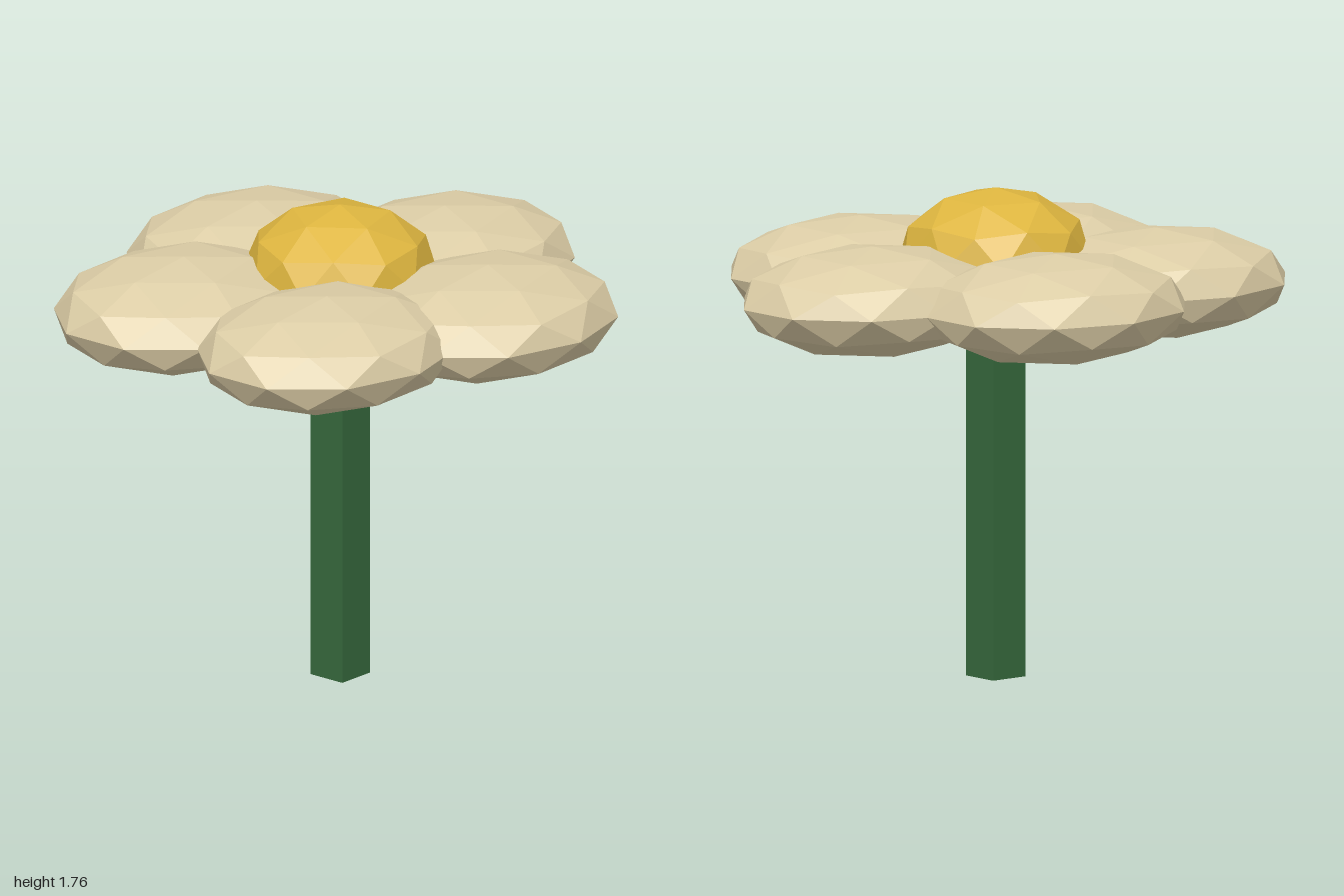
import * as THREE from 'three';

const CENTER_X = -0.055; // flower axis

// Faceted ellipsoid with a vertex at each pole and ten corners on the equator
function facetedBall(rx, ry, rz) {
  const geo = new THREE.IcosahedronGeometry(1, 1);
  geo.rotateX(-Math.atan2(1 + Math.sqrt(5), 2));
  geo.rotateY(-Math.PI / 2);
  geo.scale(rx, ry, rz);
  geo.computeVertexNormals(); // unshared corners give flat facets
  return geo;
}

function flat(name, color) {
  const material = new THREE.MeshStandardMaterial({ color });
  material.name = name;
  return material;
}

export function createModel() {
  const flower = new THREE.Group();
  flower.name = 'flower';
  const cream = flat('cream', 0xdccda6);
  const gold = flat('gold', 0xddb53f);
  const green = flat('green', 0x36683c);

  const add = (name, geometry, material, x, y, z) => {
    const mesh = new THREE.Mesh(geometry, material);
    mesh.name = name;
    mesh.position.set(x, y, z);
    flower.add(mesh);
  };

  // Square stem, ending inside the flower centre
  add('stem', new THREE.BoxGeometry(0.15, 1.4, 0.15), green, CENTER_X, 0.7, 0);

  // Domed flower centre
  add('flowerCentre', facetedBall(0.35, 0.25, 0.35), gold, CENTER_X, 1.51, 0);

  // Five equally spaced petals, all facing the same way
  const petalGeometry = facetedBall(0.51, 0.195, 0.435);
  for (let i = 0; i < 5; i++) {
    const a = (i / 5) * Math.PI * 2;
    add(`petal${i + 1}`, petalGeometry, cream,
      CENTER_X + 0.57 * Math.cos(a), 1.414, 0.57 * Math.sin(a));
  }
  return flower;
}
